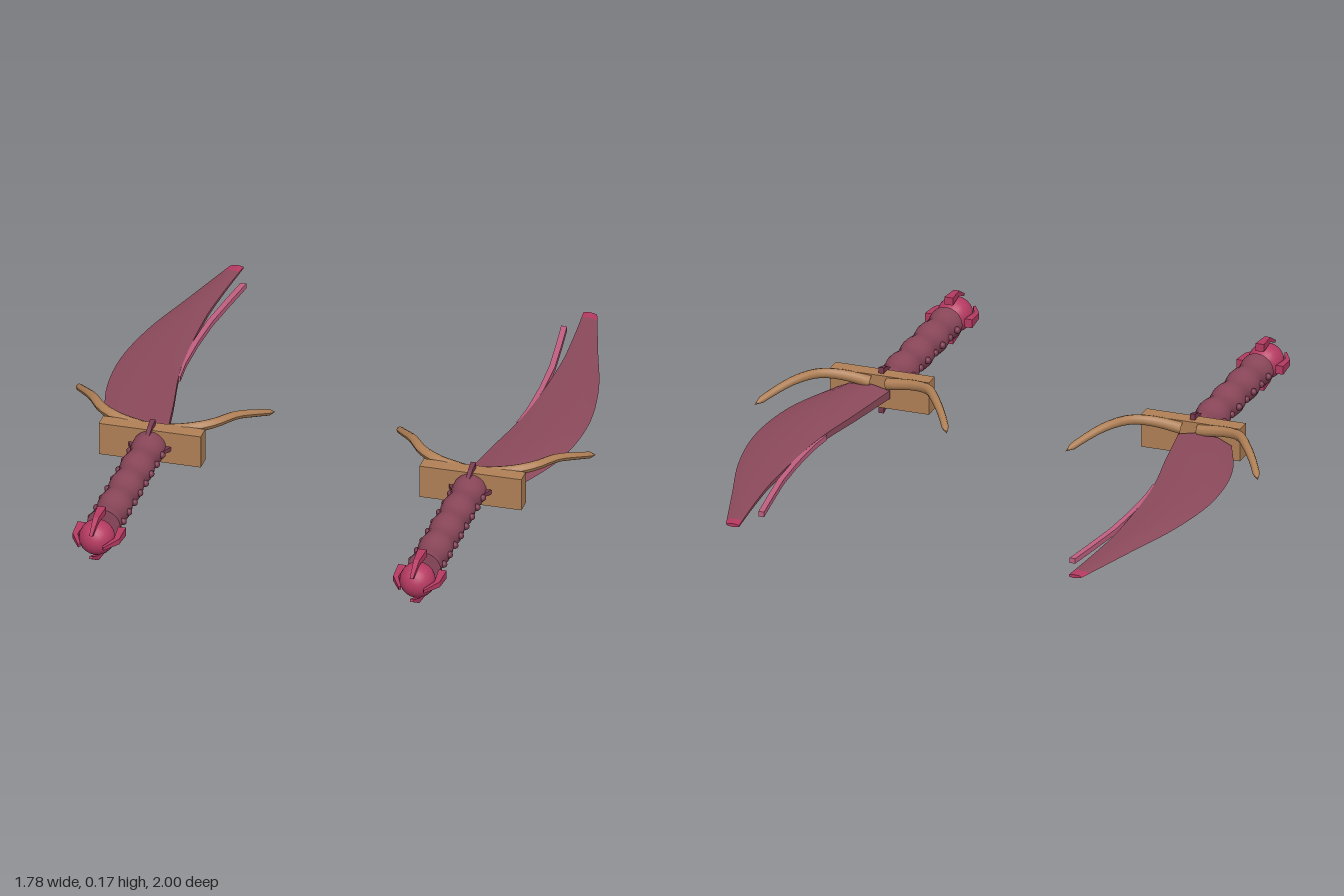
import * as THREE from 'three';
import { toCreasedNormals } from 'three/addons/utils/BufferGeometryUtils.js';

const material = (name, color, side = THREE.FrontSide) => {
  const m = new THREE.MeshStandardMaterial({ color, side });
  m.name = name;
  return m;
};

// Skin a row of closed cross-sections and cap both ends; s = -1 mirrors in x.
function loft(rings, s, crease) {
  const pos = [];
  const tri = (a, b, c) => (s > 0 ? [a, b, c] : [a, c, b]).forEach((p) => pos.push(p[0] * s, p[1], p[2]));
  const n = rings[0].length;
  for (let i = 0; i < rings.length - 1; i++) {
    for (let j = 0; j < n; j++) {
      const k = (j + 1) % n;
      tri(rings[i][j], rings[i][k], rings[i + 1][k]);
      tri(rings[i][j], rings[i + 1][k], rings[i + 1][j]);
    }
  }
  const last = rings[rings.length - 1];
  for (let j = 1; j < n - 1; j++) {
    tri(rings[0][0], rings[0][j + 1], rings[0][j]);
    tri(last[0], last[j], last[j + 1]);
  }
  const g = new THREE.BufferGeometry();
  g.setAttribute('position', new THREE.Float32BufferAttribute(pos, 3));
  return toCreasedNormals(g, crease);
}

// Tube whose radius shrinks along its path and closes at the tip.
function horn(points, r0, r1) {
  const curve = new THREE.CatmullRomCurve3(points.map((p) => new THREE.Vector3(...p)));
  const g = new THREE.TubeGeometry(curve, 14, 1, 8);
  const p = g.attributes.position, uv = g.attributes.uv;
  const v = new THREE.Vector3();
  for (let i = 0; i < p.count; i++) {
    const u = uv.getX(i);
    const c = curve.getPointAt(u);
    const r = u > 0.999 ? 0 : r0 + (r1 - r0) * u;
    v.fromBufferAttribute(p, i).sub(c).multiplyScalar(r).add(c);
    p.setXYZ(i, v.x, v.y, v.z);
  }
  g.computeVertexNormals();
  return g;
}

// Flat claw drawn as (radius, z), thinning from z0 to z1.
function claw(profile, width, z0, z1) {
  const shape = new THREE.Shape(profile.map((p) => new THREE.Vector2(...p)));
  const g = new THREE.ExtrudeGeometry(shape, { depth: width, bevelEnabled: false });
  g.translate(0, 0, -width / 2).rotateX(Math.PI / 2);
  const p = g.attributes.position;
  for (let i = 0; i < p.count; i++) {
    const t = (p.getZ(i) - z0) / (z1 - z0);
    p.setY(i, p.getY(i) * (1 - 0.65 * t));
  }
  g.computeVertexNormals();
  return g;
}

// Blade outline at a given z: inner edge, outer edge, half thickness.
const inner = new THREE.SplineCurve([[0.21, -0.04], [0, -0.005], [-0.27, 0.042], [-0.6, 0.058], [-0.8, 0.05], [-1, 0.033]].map((p) => new THREE.Vector2(...p)));
const outer = new THREE.SplineCurve([[0.23, 0.14], [0, 0.231], [-0.25, 0.258], [-0.5, 0.225], [-0.75, 0.153], [-1, 0.08]].map((p) => new THREE.Vector2(...p)));
function edgeAt(curve, z) {
  let lo = 0, hi = 1;
  for (let i = 0; i < 24; i++) {
    const mid = (lo + hi) / 2;
    if (curve.getPoint(mid).x > z) lo = mid; else hi = mid;
  }
  return curve.getPoint(lo).y;
}
function bladeRing(z) {
  const a = edgeAt(inner, z), w = edgeAt(outer, z) - a;
  const h = 0.006 + 0.023 * (z + 1) / 1.21;
  return [[0, -0.5], [0, 0.5], [0.35, 1], [0.75, 0.75], [1, 0], [0.75, -0.75], [0.35, -1]]
    .map(([u, k]) => [a + u * w, k * h, z]);
}
function bladeSpan(z0, z1, steps) {
  return Array.from({ length: steps + 1 }, (_, i) => bladeRing(z0 + (z1 - z0) * i / steps));
}

export function createModel() {
  const bladeMat = material('dark rose blade', 0x8c4a5c);
  const gripMat = material('dark rose grip', 0x8a475a);
  const gemMat = material('crimson', 0xb53a62);
  const stripMat = material('pink', 0xc06080);
  const guardMat = material('tan', 0xb08056);
  const studMat = material('deep plum', 0x7a3a50);

  function dagger(s) {
    const d = new THREE.Group();
    d.name = s > 0 ? 'leftDagger' : 'rightDagger';
    const add = (name, geo, mat) => {
      const m = new THREE.Mesh(geo, mat);
      m.name = name;
      d.add(m);
      return m;
    };

    // Curved blade, coloured tip and the thin strip parting from its inner edge
    add('blade', loft(bladeSpan(0.21, -0.96, 26), s, 0.5), bladeMat);
    add('bladeTip', loft(bladeSpan(-0.96, -1, 2), s, 0.5), gemMat);
    const strip = [[-0.2, 0.03, 0.003], [-0.3, 0.042, 0.007], [-0.45, 0.044, 0.009], [-0.6, 0.037, 0.01], [-0.75, 0.018, 0.01], [-0.88, 0, 0.01]];
    add('innerStrip', loft(strip.map(([z, x, w]) => [[x - w, -0.009, z], [x - w, 0.009, z], [x + w, 0.009, z], [x + w, -0.009, z]]), s, 0.5), stripMat);

    // Cross guard with two forward-sweeping horns
    add('guard', new THREE.BoxGeometry(0.35, 0.115, 0.055), guardMat).position.set(0, 0.003, 0.245);
    for (const e of [-1, 1]) {
      const path = [[0.03, 0.035, 0.215], [0.12, 0.05, 0.203], [0.19, 0.06, 0.168], [0.245, 0.059, 0.095], [0.295, 0.038, 0.025], [0.34, 0.01, -0.05]];
      add('guardHorn', horn(path.map(([x, y, z]) => [x * e, y, z]), 0.021, 0.011), guardMat);
    }

    // Rippled grip
    const profile = [new THREE.Vector2(0, 0.26)];
    for (let i = 0; i <= 40; i++) {
      const z = 0.26 + 0.58 * i / 40;
      profile.push(new THREE.Vector2(0.0535 + 0.004 * Math.cos((z - 0.84) / 0.137 * Math.PI * 2), z));
    }
    profile.push(new THREE.Vector2(0, 0.84));
    add('grip', toCreasedNormals(new THREE.LatheGeometry(profile, 20).rotateX(Math.PI / 2), 0.7), gripMat);

    // Rows of studs on both sides of the grip
    for (const e of [-1, 1]) {
      for (let k = 0; k < 8; k++) {
        add('gripStud', new THREE.SphereGeometry(0.012, 10, 8), studMat).position.set(e * 0.055, 0, 0.32 + 0.068 * k);
      }
    }

    // Pommel ball held by four claws, with four more where grip meets guard
    add('pommel', new THREE.SphereGeometry(0.06, 20, 14).rotateX(Math.PI / 2), gemMat).position.z = 0.922;
    for (let k = 0; k < 4; k++) {
      const a = k * Math.PI / 2;
      add('pommelClaw', claw([[0.056, 0.862], [0.083, 0.862], [0.08, 0.935], [0.043, 1], [0.038, 0.99], [0.062, 0.935]], 0.03, 0.862, 1), gemMat).rotation.z = a;
      add('guardClaw', claw([[0.045, 0.325], [0.04, 0.235], [0.082, 0.235], [0.072, 0.275]], 0.018, 0.235, 0.4), studMat).rotation.z = a;
    }

    d.position.set(s * 0.55, 0.083, 0);
    return d;
  }

  const model = new THREE.Group();
  model.name = 'twinDaggers';
  model.add(dagger(1), dagger(-1));
  return model;
}
